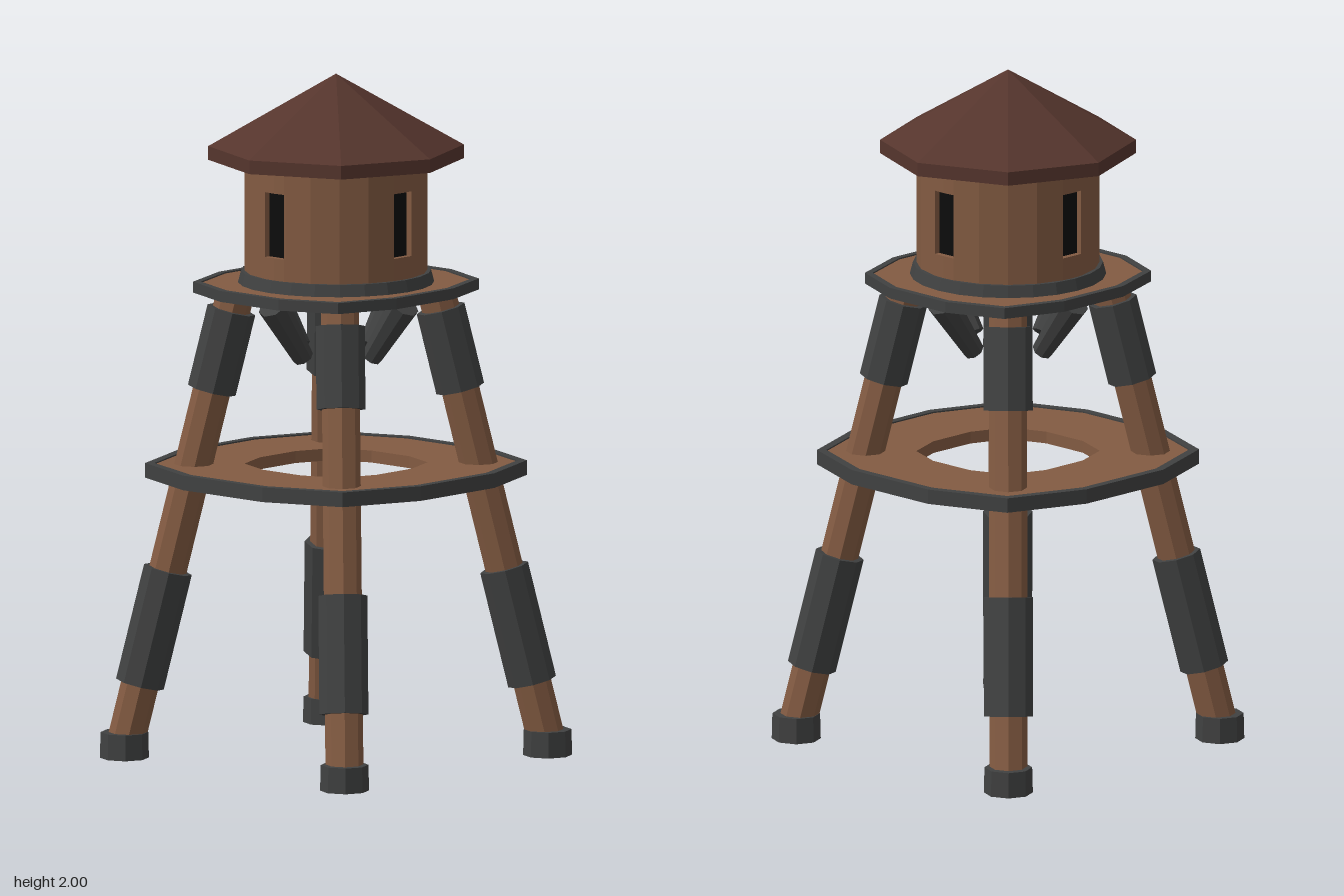
import * as THREE from 'three';

const flat = (name, color) => {
  const m = new THREE.MeshStandardMaterial({ color, flatShading: true });
  m.name = name;
  return m;
};

export function createModel() {
  const wood = flat('wood', 0x835b42);
  const metal = flat('dark metal', 0x404141);
  const roofPaint = flat('roof red brown', 0x55352d);
  const black = flat('window black', 0x0c0c0c);

  const model = new THREE.Group();
  model.name = 'waterTower';
  const add = (parent, name, geometry, material) => {
    const mesh = new THREE.Mesh(geometry, material);
    mesh.name = name;
    parent.add(mesh);
    return mesh;
  };

  // Eight-sided bar between two points
  const bar = (parent, name, a, b, rA, rB, material) => {
    const dir = b.clone().sub(a);
    const mesh = add(parent, name, new THREE.CylinderGeometry(rB, rA, dir.length(), 8), material);
    mesh.position.copy(a).add(b).multiplyScalar(0.5);
    mesh.quaternion.setFromUnitVectors(new THREE.Vector3(0, 1, 0), dir.normalize());
    return mesh;
  };

  // Splayed legs with sleeves and feet
  const SLOPE = 0.171;
  for (const sx of [1, -1]) for (const sz of [1, -1]) {
    const leg = new THREE.Group();
    leg.name = `${sz > 0 ? 'front' : 'back'}${sx > 0 ? 'Left' : 'Right'}Leg`;
    model.add(leg);
    const at = (y) => {
      const r = 0.438 - SLOPE * y;
      return new THREE.Vector3(sx * r, y, sz * r);
    };
    bar(leg, 'legPost', at(0.03), at(1.375), 0.055, 0.055, wood);
    bar(leg, 'lowerSleeve', at(0.215), at(0.55), 0.071, 0.071, metal);
    bar(leg, 'upperSleeve', at(1.075), at(1.31), 0.071, 0.071, metal);
    const foot = add(leg, 'foot', new THREE.CylinderGeometry(0.069, 0.071, 0.075, 8), metal);
    foot.position.set(sx * 0.433, 0.0375, sz * 0.433);
  }

  // Twelve-cornered outline shared by the platforms
  const outline = (hx, hz, s) => {
    const pts = [];
    const q = [[1, 0.326], [0.813, 0.813], [0.326, 1]];
    for (const [a, b] of q) pts.push([a, b]);
    for (const [a, b] of q.slice().reverse()) pts.push([-a, b]);
    for (const [a, b] of q) pts.push([-a, -b]);
    for (const [a, b] of q.slice().reverse()) pts.push([a, -b]);
    return pts.map(([a, b]) => new THREE.Vector2(a * hx * s, b * hz * s));
  };
  const slab = (outer, hole, y0, y1) => {
    const shape = new THREE.Shape(outer);
    if (hole) shape.holes.push(new THREE.Path(hole));
    const g = new THREE.ExtrudeGeometry(shape, { depth: y1 - y0, bevelEnabled: false });
    return g.rotateX(-Math.PI / 2).translate(0, y0, 0);
  };
  const platform = (name, hx, hz, y0, y1, rim, holeScale) => {
    const group = new THREE.Group();
    group.name = name;
    model.add(group);
    const hole = holeScale ? outline(hx, hz, holeScale) : null;
    add(group, 'deck', slab(outline(hx, hz, rim), hole, y0 + 0.004, y1 - 0.004), wood);
    add(group, 'rim', slab(outline(hx, hz, 1), outline(hx, hz, rim), y0, y1), metal);
  };
  platform('lowerGallery', 0.478, 0.483, 0.82, 0.863, 0.95, 0.48);
  platform('upperPlatform', 0.35, 0.37, 1.363, 1.395, 0.945, 0);

  // Four tapered braces under the upper platform
  for (let i = 0; i < 4; i++) {
    const brace = new THREE.Group();
    brace.name = 'brace';
    brace.rotation.y = i * Math.PI / 2;
    model.add(brace);
    bar(brace, 'braceBar', new THREE.Vector3(0, 1.185, 0.14),
      new THREE.Vector3(0, 1.352, 0.268), 0.031, 0.046, metal);
  }

  // Tank with four recessed windows
  const R = 0.265, Y0 = 1.42, Y1 = 1.8, W0 = 1.49, W1 = 1.68, HALF = 0.038;
  const angle = Math.asin(HALF / R);
  const wall = (y0, y1, start, length, segments) =>
    new THREE.CylinderGeometry(R, R, y1 - y0, segments, 1, true, start, length)
      .translate(0, (y0 + y1) / 2, 0);
  const box = (w, h, d, x, y, z) => new THREE.BoxGeometry(w, h, d).translate(x, y, z);
  const midY = (W0 + W1) / 2, height = W1 - W0;
  for (let i = 0; i < 4; i++) {
    const side = new THREE.Group();
    side.name = 'tankSide';
    side.rotation.y = i * Math.PI / 2;
    model.add(side);
    add(side, 'tankWall', wall(Y0, Y1, angle, Math.PI / 2 - 2 * angle, 4), wood);
    add(side, 'wallBelowWindow', wall(Y0, W0, -angle, 2 * angle, 2), wood);
    add(side, 'wallAboveWindow', wall(W1, Y1, -angle, 2 * angle, 2), wood);
    for (const s of [1, -1]) {
      add(side, 'windowJamb', box(0.006, height, 0.026, s * (HALF + 0.003), midY, 0.248), wood);
      add(side, 'windowLedge', box(2 * HALF, 0.006, 0.026, 0, midY + s * (height / 2 + 0.003), 0.248), wood);
    }
    add(side, 'windowPane', box(2 * HALF, height, 0.006, 0, midY, 0.24), black);
  }
  add(model, 'tankBaseRing', new THREE.CylinderGeometry(0.275, 0.284, 0.035, 24), metal)
    .position.y = 1.408;

  // Eight-sided hollow roof
  const roofProfile = [[0, 1.94], [0.352, 1.75], [0.37, 1.75], [0.37, 1.79], [0, 2]]
    .map(([r, y]) => new THREE.Vector2(r, y));
  add(model, 'roof', new THREE.LatheGeometry(roofProfile, 8), roofPaint);

  return model;
}
